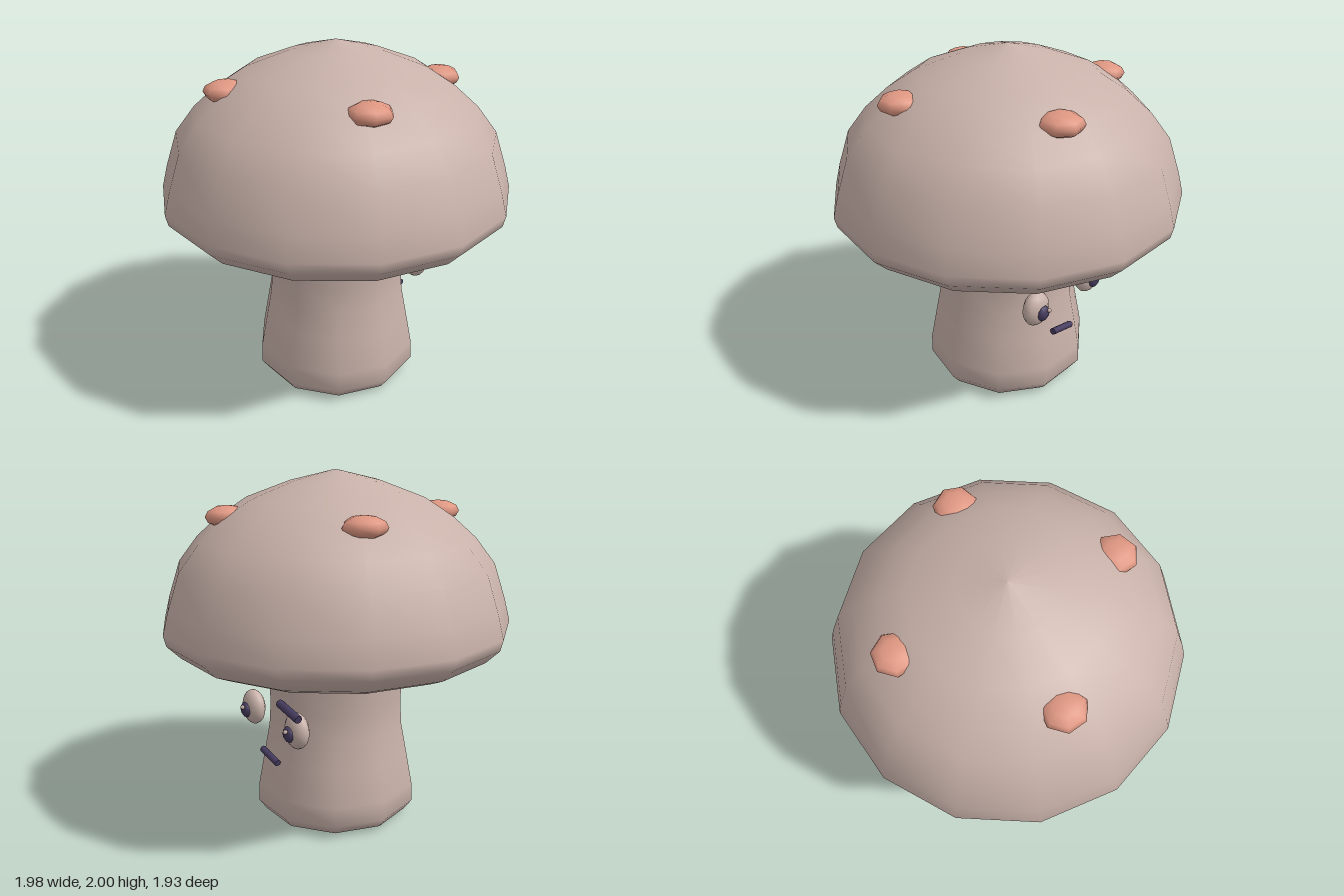
import * as THREE from 'three';

export function createModel() {
  const root = new THREE.Group();
  root.name = 'mushroom';
  const paint = (name, color) => {
    const m = new THREE.MeshStandardMaterial({ color });
    m.name = name;
    return m;
  };
  const beige = paint('warm beige', 0xc8b1a9);
  const coral = paint('coral', 0xdf9782);
  const dark = paint('dark violet', 0x453b5e);

  const add = (name, geometry, material, x = 0, y = 0, z = 0) => {
    const mesh = new THREE.Mesh(geometry, material);
    mesh.name = name;
    mesh.position.set(x, y, z);
    root.add(mesh);
    return mesh;
  };
  // Turned part with corners on the x axis
  const turned = (profile, sides) =>
    new THREE.LatheGeometry(profile.map(([r, y]) => new THREE.Vector2(r, y)), sides).rotateY(Math.PI / 2);
  const ellipsoid = (rx, ry, rz, w, h) => new THREE.SphereGeometry(1, w, h).scale(rx, ry, rz);

  // Cap and stem
  add('cap', turned([
    [0, 0.97], [0.4, 0.97], [0.72, 0.97], [0.81, 0.985], [0.9, 1.025], [0.975, 1.1], [0.99, 1.16],
    [0.957, 1.286], [0.89, 1.487], [0.78, 1.63], [0.65, 1.746], [0.49, 1.85], [0.25, 1.94], [0, 2],
  ], 14), beige);
  add('stem', turned([
    [0, 0], [0.33, 0.005], [0.43, 0.02], [0.475, 0.08], [0.473, 0.19], [0.435, 0.39],
    [0.402, 0.56], [0.393, 0.7], [0.4, 0.86], [0.408, 1.0],
  ], 10), beige);

  // Four spots, a quarter turn apart
  for (let i = 0; i < 4; i++) {
    const a = 0.39 + i * Math.PI / 2;
    add('spot', ellipsoid(0.12, 0.06, 0.12, 7, 6), coral, 0.6 * Math.cos(a), 1.76, 0.6 * Math.sin(a));
  }

  // Eyes on the -z side
  for (const s of [-1, 1]) {
    const x = s * 0.23;
    add('eye', ellipsoid(0.09, 0.103, 0.06, 12, 10), beige, x, 0.643, -0.423);
    add('pupil', ellipsoid(0.043, 0.046, 0.03, 8, 6), dark, x, 0.635, -0.475);
    add('eyeGlint', ellipsoid(0.013, 0.013, 0.013, 6, 5), beige, x - 0.015, 0.66, -0.507);
  }

  // Tilted bars
  const bar = (name, radius, length, x, y, z) => {
    const g = new THREE.CylinderGeometry(radius, radius, length, 8).rotateZ(Math.PI / 2);
    add(name, g, dark, x, y, z).rotation.z = 0.2;
  };
  bar('brow', 0.023, 0.19, -0.23, 0.765, -0.472);
  bar('mouth', 0.019, 0.165, 0.02, 0.41, -0.445);

  return root;
}
